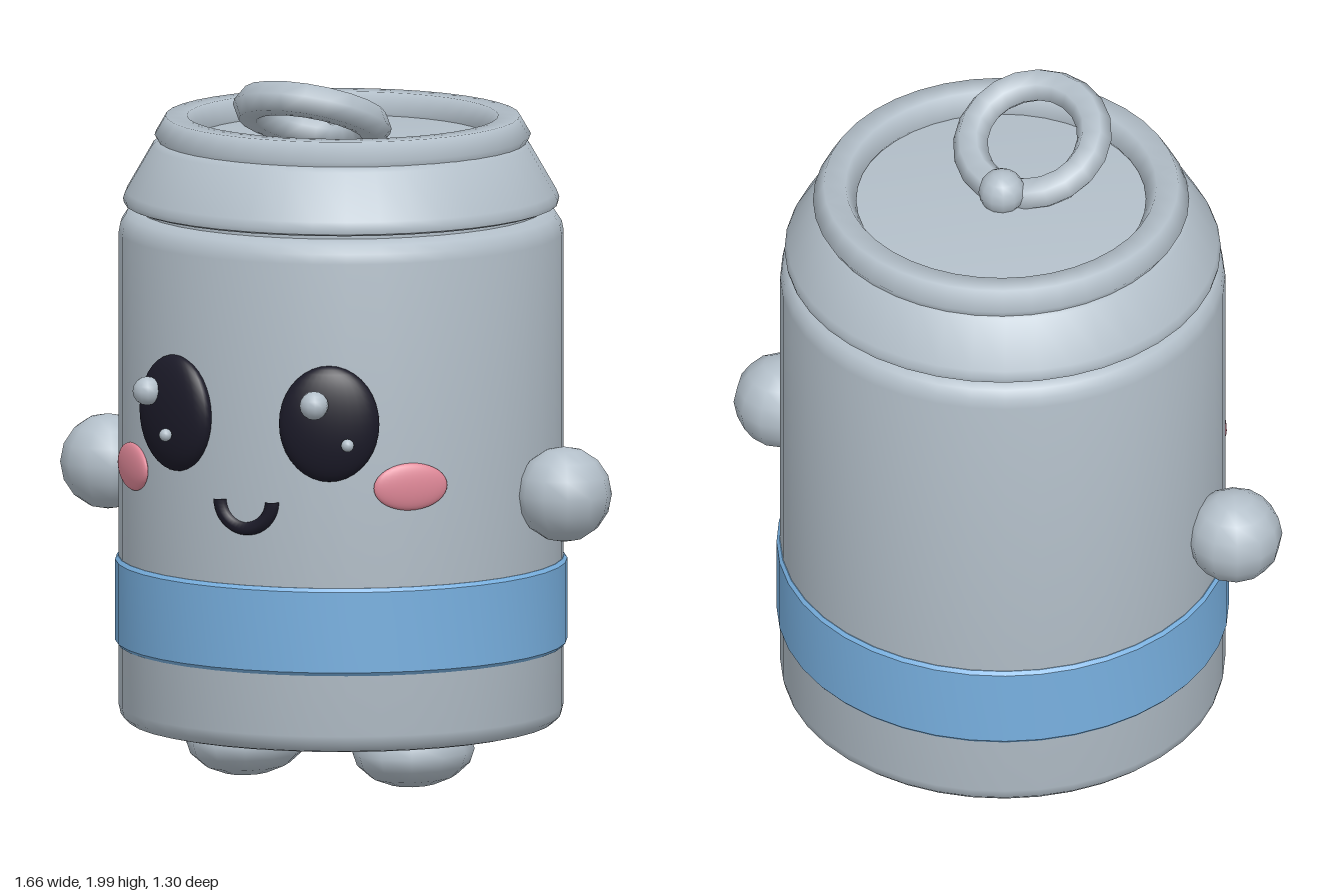
import * as THREE from 'three';
import { toCreasedNormals } from 'three/addons/utils/BufferGeometryUtils.js';

const AXIS_Z = -0.025; // the can's axis sits slightly behind the centre
const RADIUS = 0.615;

function material(name, color) {
  const m = new THREE.MeshStandardMaterial({ color });
  m.name = name;
  return m;
}

export function createModel() {
  const model = new THREE.Group();
  model.name = 'canCharacter';
  const metal = material('metal', 0xb3bfc9);
  const blue = material('blue', 0x78b0e0);
  const black = material('black', 0x1b1a28);
  const pink = material('pink', 0xe08898);

  function add(name, geometry, mat, x, y, z) {
    const mesh = new THREE.Mesh(geometry, mat);
    mesh.name = name;
    mesh.position.set(x, y, z);
    model.add(mesh);
    return mesh;
  }

  // Turned part around the can's axis, from [radius, height] pairs
  function turned(name, profile, mat) {
    const points = profile.map(([r, y]) => new THREE.Vector2(r, y));
    return add(name, toCreasedNormals(new THREE.LatheGeometry(points, 40), 0.65), mat, 0, 0, AXIS_Z);
  }

  function ball(name, radius, mat, x, y, z, w = 12, h = 8) {
    return add(name, new THREE.SphereGeometry(radius, w, h), mat, x, y, z);
  }

  // Flattened ball lying on the can wall, facing outward
  function wallSpot(name, mat, x, y, halfWidth, halfHeight, depth) {
    const angle = Math.asin(x / RADIUS);
    const spot = ball(name, 1, mat, x, y, AXIS_Z + RADIUS * Math.cos(angle), 28, 18);
    spot.scale.set(halfWidth, halfHeight, depth);
    spot.rotation.y = angle;
  }

  // Can body with rounded edges
  turned('body', [
    [0, 0.16], [0.565, 0.16], [0.59, 0.166], [0.609, 0.184], [RADIUS, 0.21],
    [RADIUS, 1.53], [0.61, 1.557], [0.595, 1.58], [0.57, 1.592], [0.54, 1.595], [0, 1.595],
  ], metal);
  turned('neckGroove', [[0.56, 1.58], [0.56, 1.62]], metal);

  // Sloping shoulder and lid
  turned('shoulder', [
    [0, 1.605], [0.585, 1.605], [0.6, 1.611], [0.603, 1.625], [0.595, 1.645],
    [0.522, 1.772], [0.505, 1.785], [0.48, 1.79], [0, 1.79],
  ], metal);
  const rim = add('rim', new THREE.TorusGeometry(0.46, 0.06, 6, 40), metal, 0, 1.8, AXIS_Z - 0.01);
  rim.rotation.x = Math.PI / 2;

  // Raised pull tab and its rivet
  const tab = add('pullTab', new THREE.TorusGeometry(0.175, 0.049, 6, 20), metal, 0, 1.876, 0.16);
  tab.rotation.x = -Math.PI / 2 - 0.425 + Math.PI;
  tab.rotation.x = Math.PI / 2 - 0.425;
  ball('rivet', 0.065, metal, 0, 1.825, -0.03);

  // Painted band
  turned('band', [
    [0.6, 0.38], [0.617, 0.38], [0.625, 0.39], [0.625, 0.615], [0.617, 0.625], [0.6, 0.625],
  ], blue);

  // Paired limbs and face parts
  for (const side of [1, -1]) {
    const label = side > 0 ? 'left' : 'right';
    ball(label + 'Hand', 0.133, metal, side * 0.698, 0.845, 0.008);
    ball(label + 'Foot', 1, metal, side * 0.255, 0.105, 0.045).scale.set(0.16, 0.1, 0.205);
    wallSpot(label + 'Eye', black, side * 0.235, 1.085, 0.139, 0.162, 0.05);
    wallSpot(label + 'Cheek', pink, side * 0.425, 0.905, 0.107, 0.066, 0.02);
  }

  // Eye highlights: both lie toward the same side of each eye
  ball('rightEyeGlint', 0.04, metal, -0.31, 1.145, 0.57);
  ball('leftEyeGlint', 0.04, metal, 0.223, 1.145, 0.615);
  ball('rightEyeSparkle', 0.018, metal, -0.232, 1.033, 0.615);
  ball('leftEyeSparkle', 0.018, metal, 0.305, 1.033, 0.572);

  // Smiling mouth
  const mouth = add('mouth', new THREE.TorusGeometry(0.079, 0.021, 8, 20, Math.PI), black, 0, 0.862, 0.582);
  mouth.rotation.z = Math.PI;

  return model;
}
